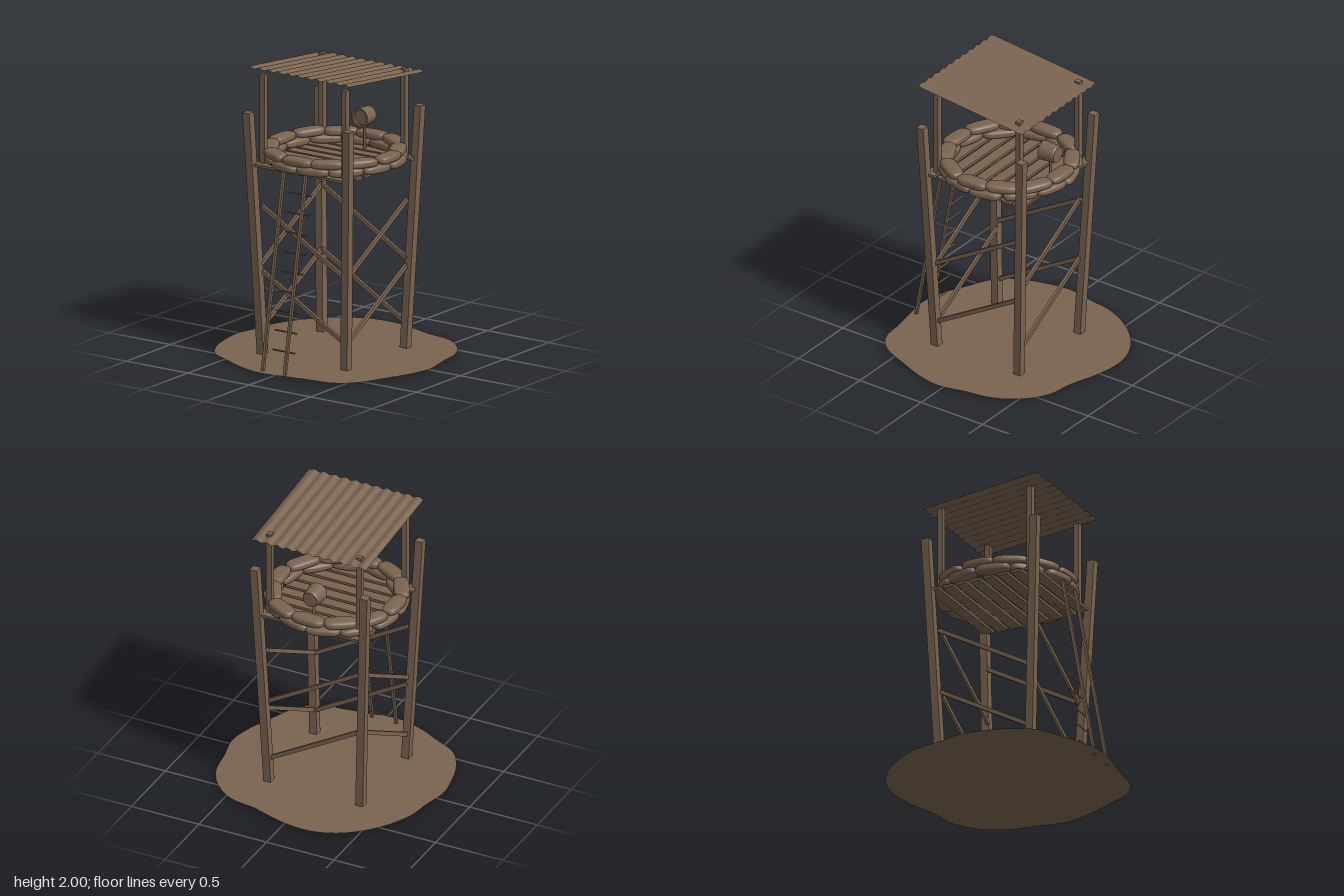
import * as THREE from 'three';

export function createModel() {
  const model = new THREE.Group();
  model.name = 'watchtower';
  const brown = new THREE.MeshStandardMaterial({ color: 0x7a6450 });
  brown.name = 'weathered brown';
  const brownSheet = brown.clone(); // same colour, for open sheets
  brownSheet.name = 'weathered brown';
  brownSheet.side = THREE.DoubleSide;

  const CX = -0.012, CZ = 0.023; // tower axis
  const V = (x, y, z) => new THREE.Vector3(x, y, z);
  const UP = V(0, 1, 0);

  let seed = 7;
  const rand = () => (seed = (seed * 16807) % 2147483647) / 2147483647;

  function add(name, geometry, parent = model, material = brown) {
    const mesh = new THREE.Mesh(geometry, material);
    mesh.name = name;
    parent.add(mesh);
    return mesh;
  }
  function group(name) {
    const g = new THREE.Group();
    g.name = name;
    model.add(g);
    return g;
  }
  // Square or round bar between two points
  function beam(name, a, b, w, d = w, parent = model, round = false) {
    const len = a.distanceTo(b);
    const geo = round ? new THREE.CylinderGeometry(w / 2, w / 2, len, 8) : new THREE.BoxGeometry(w, len, d);
    const mesh = add(name, geo, parent);
    mesh.position.copy(a).add(b).multiplyScalar(0.5);
    mesh.quaternion.setFromUnitVectors(UP, b.clone().sub(a).normalize());
    return mesh;
  }

  // Ground patch with a wavy outline
  const outline = [[-.15, -.77], [.05, -.74], [.25, -.675], [.45, -.635], [.61, -.51], [.7, -.35], [.73, -.18],
    [.772, .03], [.74, .2], [.66, .4], [.57, .59], [.45, .685], [.28, .71], [.1, .74], [-.08, .762], [-.25, .725],
    [-.42, .645], [-.6, .55], [-.7, .4], [-.76, .2], [-.776, .05], [-.74, -.12], [-.71, -.3], [-.6, -.51],
    [-.45, -.665], [-.3, -.745]];
  const curve = new THREE.CatmullRomCurve3(outline.map(([x, z]) => V(x, -z, 0)), true);
  const patch = new THREE.Shape(curve.getPoints(104).slice(0, -1).map(p => new THREE.Vector2(p.x, p.y)));
  const ground = add('ground', new THREE.ShapeGeometry(patch), model, brownSheet);
  ground.rotation.x = -Math.PI / 2;
  ground.position.y = 0.017;

  // Leaning legs and upright roof posts, one of each per corner
  const legs = group('legs'), posts = group('roofPosts');
  for (const sx of [-1, 1]) for (const sz of [-1, 1]) {
    beam('leg', V(CX + sx * 0.34, 0.018, CZ + sz * 0.336), V(CX + sx * 0.407, 1.677, CZ + sz * 0.405), 0.055, 0.055, legs);
    beam('roofPost', V(CX + sx * 0.333, 1.32, CZ + sz * 0.333), V(CX + sx * 0.333, 1.932, CZ + sz * 0.333), 0.038, 0.038, posts);
  }

  // Two diagonal braces on each side
  const braces = group('braces');
  const H = 0.347;
  for (const s of [-1, 1]) for (const y of [0.185, 0.63]) {
    beam('brace', V(CX - H, y + 0.4, CZ + s * 0.337), V(CX + H, y, CZ + s * 0.337), 0.028, 0.02, braces);
    beam('brace', V(CX + s * 0.345, y + 0.4, CZ - H), V(CX + s * 0.345, y, CZ + H), 0.02, 0.028, braces);
  }

  // Plank floor
  const floor = group('floor');
  const planks = 8, pitch = 0.102;
  for (let i = 0; i < planks; i++) {
    const plank = add('plank', new THREE.BoxGeometry(0.785, 0.018, 0.078), floor);
    plank.position.set(CX, 1.316, CZ + (i - (planks - 1) / 2) * pitch);
  }

  // Sandbag: a sphere squared off into a pillow
  function bagGeometry(l, h, w) {
    const geo = new THREE.SphereGeometry(1, 18, 14).rotateZ(Math.PI / 2);
    const p = geo.attributes.position;
    const puff = (v, e) => Math.sign(v) * Math.abs(v) ** e;
    for (let i = 0; i < p.count; i++) {
      p.setXYZ(i, puff(p.getX(i), 0.62) * l / 2, puff(p.getY(i), 0.65) * h / 2, puff(p.getZ(i), 0.65) * w / 2);
    }
    geo.computeVertexNormals();
    return geo;
  }
  // Two staggered rings of sandbags
  const bags = group('sandbags');
  const count = 12;
  for (let layer = 0; layer < 2; layer++) for (let i = 0; i < count; i++) {
    const a = (i + (layer ? 0 : 0.5)) / count * Math.PI * 2 + Math.PI / 2 + (rand() - 0.5) * 0.05;
    const r = 0.422 + (rand() - 0.5) * 0.02;
    const bag = add('sandbag', bagGeometry(0.225 + rand() * 0.02, 0.062, 0.11), bags);
    bag.position.set(CX + Math.cos(a) * r, 1.353 + layer * 0.052, 0.012 + Math.sin(a) * r);
    bag.rotation.set(0, Math.PI / 2 - a + (rand() - 0.5) * 0.1, (rand() - 0.5) * 0.05);
  }

  // Ladder: rails leaning on the front edge, rungs set behind them
  const ladder = group('ladder');
  for (const x of [-0.101, 0.078]) {
    beam('ladderRail', V(x, 0.004, 0.707), V(x, 1.33, 0.468), 0.02, 0.02, ladder);
  }
  for (let i = 0; i < 9; i++) {
    const y = 0.137 + i * 0.1297, z = 0.59 - i * 0.0233;
    beam('ladderRung', V(-0.101, y, z), V(0.078, y, z), 0.012, 0.012, ladder, true);
  }

  // Corrugated roof sheet, sloping down to the back
  const roofGeo = new THREE.PlaneGeometry(0.85, 0.85, 132, 1).rotateX(-Math.PI / 2);
  const rp = roofGeo.attributes.position;
  for (let i = 0; i < rp.count; i++) {
    const x = rp.getX(i), z = rp.getZ(i);
    rp.setY(i, 0.102 * z + 0.0065 * Math.cos(x / 0.85 * Math.PI * 22));
  }
  roofGeo.computeVertexNormals();
  add('roof', roofGeo, model, brownSheet).position.set(-0.01, 1.95, 0.022);

  // Searchlight: a drum with a recessed lens, facing the front, on a thin stand
  const lamp = group('searchlight');
  lamp.position.set(CX, 1.547, -0.325);
  const drumProfile = [[0, -0.06], [0.052, -0.06], [0.058, -0.05], [0.067, 0.045], [0.067, 0.06], [0.052, 0.06], [0.05, 0.045], [0, 0.045]];
  // each profile segment gets its own lathe so the edges stay sharp
  for (let i = 0; i < drumProfile.length - 1; i++) {
    const pts = [drumProfile[i], drumProfile[i + 1]].map(([r, y]) => new THREE.Vector2(r, y));
    add('lampHousing', new THREE.LatheGeometry(pts, 24).rotateX(Math.PI / 2), lamp);
  }
  beam('lampStand', V(0, -0.225, 0), V(0, -0.055, 0), 0.02, 0.02, lamp, true);

  return model;
}
